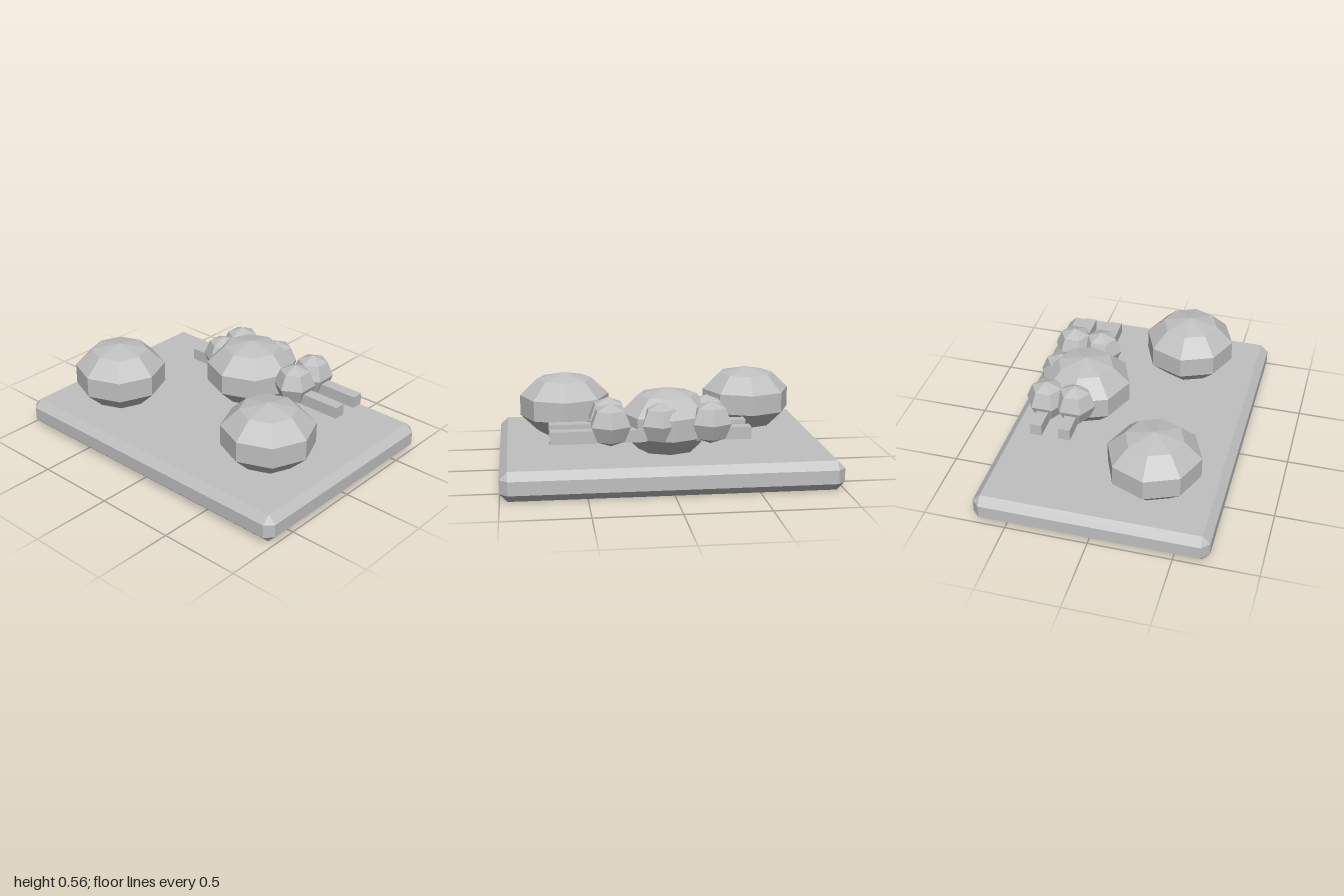
import * as THREE from 'three';
import { ConvexGeometry } from 'three/addons/geometries/ConvexGeometry.js';

const stone = new THREE.MeshStandardMaterial({ color: 0xc0c0c0 });
stone.name = 'stoneGrey';

// Box with every edge chamfered by b
function chamferedBox(w, h, d, b) {
  const points = [];
  for (const sx of [-1, 1]) for (const sy of [-1, 1]) for (const sz of [-1, 1]) {
    const x = w / 2, y = h / 2, z = d / 2;
    points.push(
      new THREE.Vector3(sx * x, sy * (y - b), sz * (z - b)),
      new THREE.Vector3(sx * (x - b), sy * y, sz * (z - b)),
      new THREE.Vector3(sx * (x - b), sy * (y - b), sz * z));
  }
  return new ConvexGeometry(points);
}

// Faceted ball with one normal per face
function facetedBall(radius, sides, rows, yScale, turn) {
  const geometry = new THREE.SphereGeometry(radius, sides, rows)
    .rotateY(turn).scale(1, yScale, 1).toNonIndexed();
  geometry.computeVertexNormals();
  return geometry;
}

export function createModel() {
  const model = new THREE.Group();
  model.name = 'boulderPlatform';
  const add = (name, geometry, x, y, z) => {
    const mesh = new THREE.Mesh(geometry, stone);
    mesh.name = name;
    mesh.position.set(x, y, z);
    model.add(mesh);
  };

  // Base slab
  add('platform', chamferedBox(2, 0.176, 1.41, 0.047), 0, 0.088, 0);

  // Three large squashed boulders
  const boulder = facetedBall(0.294, 8, 5, 0.697, 0);
  [[-0.588, 0.29], [0.588, 0.235], [0, -0.295]].forEach(([x, z], i) =>
    add('boulder' + (i + 1), boulder, x, 0.355, z));

  // Two rods, each threaded through three small balls
  const rod = new THREE.BoxGeometry(1.175, 0.073, 0.073);
  const ball = facetedBall(0.13, 6, 4, 0.98, Math.PI / 6);
  [-0.295, -0.472].forEach((z, row) => {
    add('rod' + (row + 1), rod, 0.118, 0.32, z);
    [-0.235, 0.059, 0.353].forEach((x, i) =>
      add('smallBall' + (row * 3 + i + 1), ball, x, 0.383, z));
  });

  return model;
}
